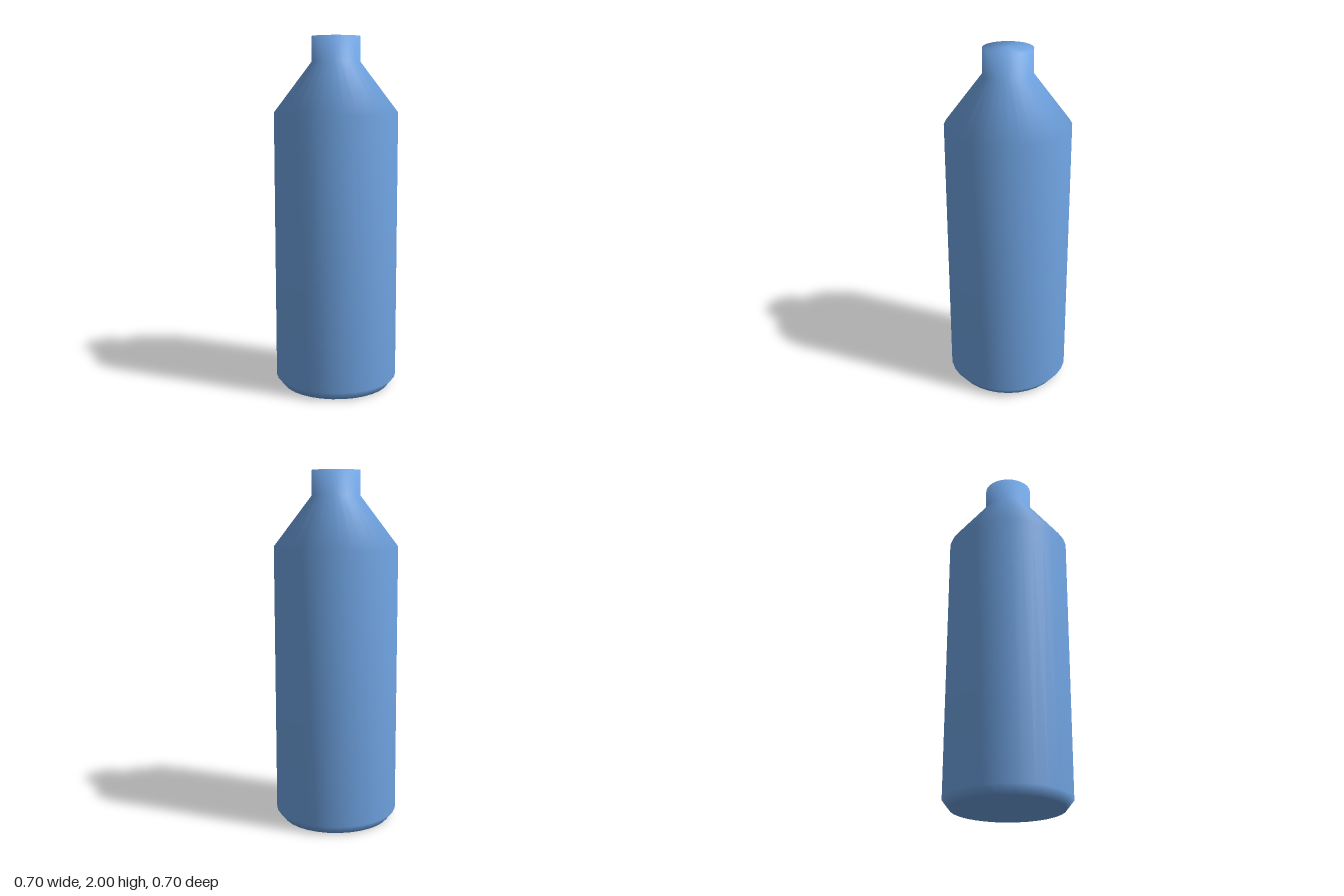
import * as THREE from 'three';

export function createModel() {
  const group = new THREE.Group();
  group.name = 'bottle';

  // Closed profile from the base centre up to the mouth centre
  const profile = [
    [0, 0],
    [0.31, 0], // base
    [0.35, 0.05], // bevelled foot
    [0.35, 1.58], // straight body
    [0.137, 1.86], // sloping shoulder
    [0.137, 2], // neck
    [0, 2], // flat top
  ].map(([x, y]) => new THREE.Vector2(x, y));

  const body = new THREE.Mesh(
    new THREE.LatheGeometry(profile, 32),
    new THREE.MeshStandardMaterial({ color: 0x6ea2e0 })
  );
  body.name = 'bottleBody';
  group.add(body);
  return group;
}
